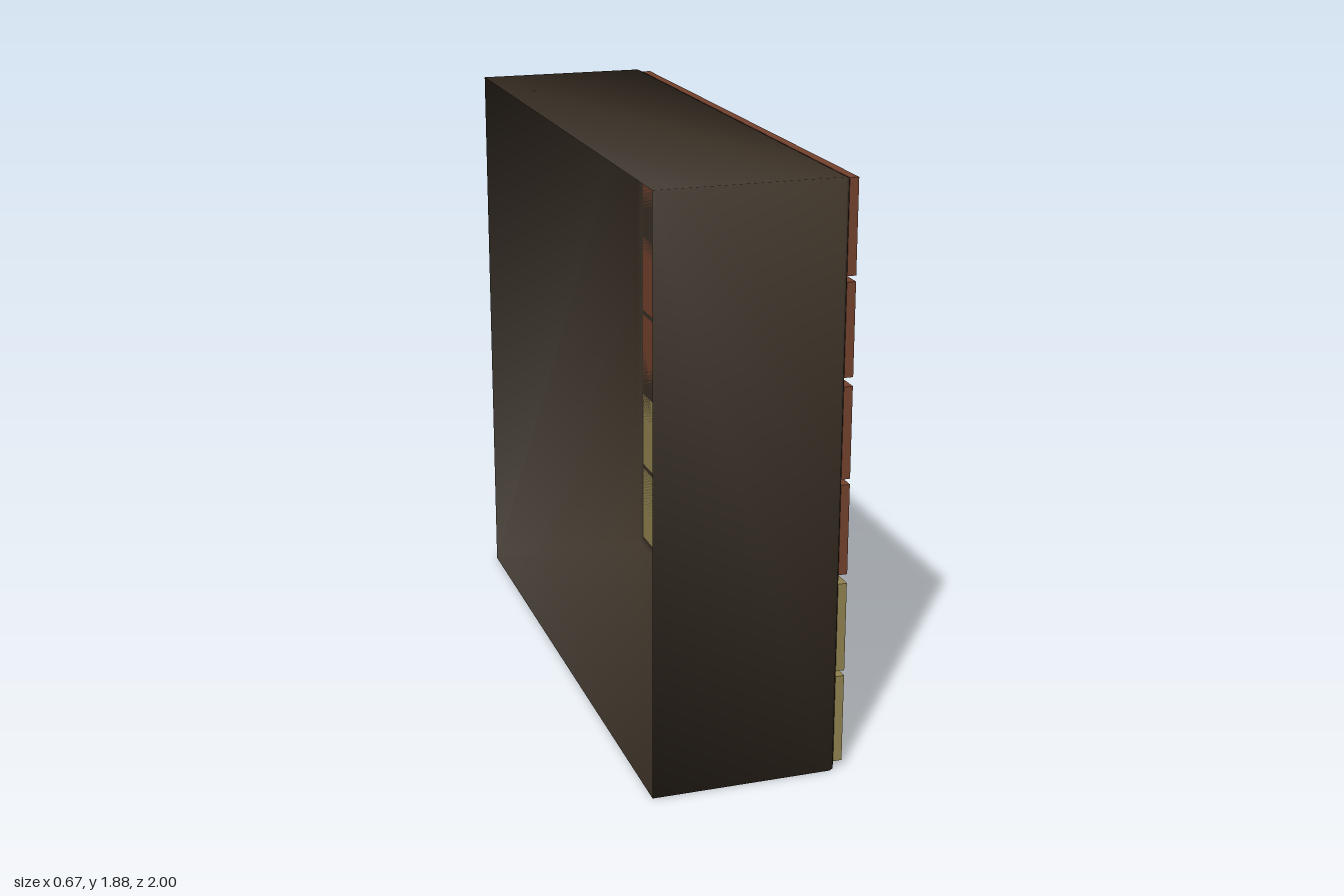
import * as THREE from 'three';

const mat = (name, color, extra = {}) => {
  const m = new THREE.MeshStandardMaterial({ color, ...extra });
  m.name = name;
  return m;
};

// Carcass: rectangular rings joined along x, open at the back, closed at the front
function carcassGeometry() {
  const H = 1.88;
  const rings = [[-0.338, 0], [0.242, 0], [0.251, 0.004], [0.257, 0.014]]; // x, inset
  const pos = [], idx = [];
  for (const [x, d] of rings) {
    pos.push(x, d, 1 - d, x, d, d - 1, x, H - d, d - 1, x, H - d, 1 - d);
  }
  for (let r = 0; r < rings.length - 1; r++) {
    for (let i = 0; i < 4; i++) {
      const j = (i + 1) % 4, a = r * 4, b = a + 4;
      idx.push(a + i, a + j, b + j, a + i, b + j, b + i);
    }
  }
  const c = (rings.length - 1) * 4;
  idx.push(c, c + 1, c + 2, c, c + 2, c + 3);
  const g = new THREE.BufferGeometry();
  g.setAttribute('position', new THREE.Float32BufferAttribute(pos, 3));
  g.setIndex(idx);
  g.computeVertexNormals();
  return g;
}

// Handle: a round bar bent into a bracket with rounded corners
function handleGeometry() {
  const v = (x, z) => new THREE.Vector3(x, 0, z);
  const x0 = 0.28, x1 = 0.326, h = 0.069, r = 0.014;
  const path = new THREE.CurvePath();
  path.add(new THREE.LineCurve3(v(x0, -h), v(x1 - r, -h)));
  path.add(new THREE.QuadraticBezierCurve3(v(x1 - r, -h), v(x1, -h), v(x1, -h + r)));
  path.add(new THREE.LineCurve3(v(x1, -h + r), v(x1, h - r)));
  path.add(new THREE.QuadraticBezierCurve3(v(x1, h - r), v(x1, h), v(x1 - r, h)));
  path.add(new THREE.LineCurve3(v(x1 - r, h), v(x0, h)));
  return new THREE.TubeGeometry(path, 48, 0.009, 10, false);
}

export function createModel() {
  const dark = mat('dark wood', 0x3a3025, { side: THREE.DoubleSide });
  const red = mat('red brown wood', 0x74422e);
  const olive = mat('olive wood', 0x928350);
  const metal = mat('handle metal', 0x352c22);

  const model = new THREE.Group();
  model.name = 'cabinet';
  const add = (name, geo, m, x, y, z) => {
    const mesh = new THREE.Mesh(geo, m);
    mesh.name = name;
    mesh.position.set(x, y, z);
    model.add(mesh);
  };

  add('carcass', carcassGeometry(), dark, 0, 0, 0);

  // Drawer fronts in three pairs, with the two handles of a pair near their shared gap
  const front = new THREE.BoxGeometry(0.029, 0.29, 1.97);
  const handle = handleGeometry();
  [0.321, 0.949, 1.575].forEach((gapY, pair) => {
    for (const s of [-1, 1]) {
      add('drawerFront', front, pair === 0 ? olive : red, 0.2715, gapY + s * 0.154, 0);
      add('drawerHandle', handle, metal, 0, gapY + s * 0.042, 0.099);
    }
  });
  return model;
}
